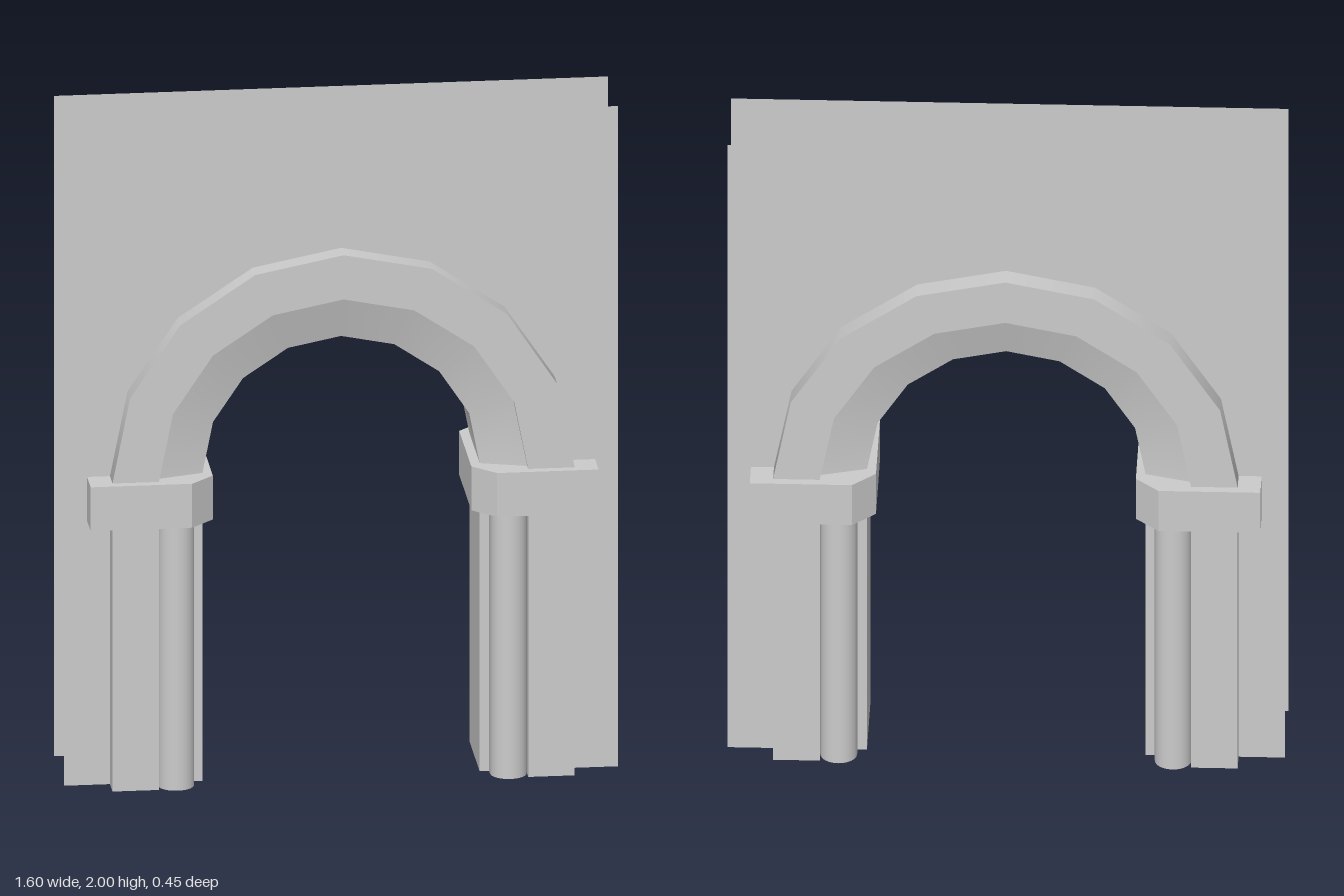
import * as THREE from 'three';
import { mergeGeometries } from 'three/addons/utils/BufferGeometryUtils.js';

const material = new THREE.MeshStandardMaterial({ color: 0xcccccc, side: THREE.DoubleSide });
const SPRING = 0.933, CAP_Y = 0.8, SEGMENTS = 8;
const R_OUT = 0.667, R_MID = 0.533, R_IN = 0.4;
const Z_RING = 0.2, Z_WALL = 0.133;

function addMesh(parent, name, geometry) {
  const mesh = new THREE.Mesh(geometry, material);
  mesh.name = name;
  parent.add(mesh);
  return mesh;
}

// Flat sheet with the arched opening cut out of its lower edge
function wallGeometry() {
  const shape = new THREE.Shape();
  shape.moveTo(-0.8, 0);
  shape.lineTo(-R_OUT, 0);
  for (let i = 0; i <= SEGMENTS; i++) {
    const a = Math.PI * (1 - i / SEGMENTS);
    shape.lineTo(R_OUT * Math.cos(a), SPRING + R_OUT * Math.sin(a));
  }
  shape.lineTo(R_OUT, 0);
  shape.lineTo(0.8, 0);
  shape.lineTo(0.8, 2);
  shape.lineTo(-0.8, 2);
  return new THREE.ShapeGeometry(shape);
}

// Half-ring swept from a stepped, splayed profile; each strip keeps its own normals
function archGeometry() {
  const profile = [
    [R_OUT, -Z_RING], [R_OUT, Z_RING], [R_MID, Z_RING], [R_MID, 0.173],
    [R_IN, Z_WALL], [R_IN, -Z_WALL], [R_MID, -0.173], [R_MID, -Z_RING],
  ].map(([r, z]) => new THREE.Vector2(r, z));
  const strips = profile.map((p, i) =>
    new THREE.LatheGeometry([p, profile[(i + 1) % profile.length]], SEGMENTS, Math.PI / 2, Math.PI));
  return mergeGeometries(strips).rotateX(Math.PI / 2).translate(0, SPRING, 0);
}

// Upright rectangle from a to b in plan, facing away from the pier's core
function uprightGeometry([ax, az], [bx, bz]) {
  const g = new THREE.PlaneGeometry(Math.hypot(bx - ax, bz - az), CAP_Y);
  g.rotateY(Math.atan2(az - bz, bx - ax));
  return g.translate((ax + bx) / 2, CAP_Y / 2, (az + bz) / 2);
}

// Front half of a stepped pier, open at the bottom
function pierGeometry() {
  const runs = [
    [[R_IN, 0], [R_IN, Z_WALL], [0.427, Z_WALL], [0.427, 0.16]],
    [[R_MID, 0.16], [R_MID, Z_RING], [R_OUT, Z_RING], [R_OUT, 0]],
  ];
  const sides = [];
  for (const run of runs)
    for (let i = 0; i < run.length - 1; i++) sides.push(uprightGeometry(run[i], run[i + 1]));
  return mergeGeometries(sides);
}

// Engaged half-round shaft set in the pier's corner
function shaftGeometry() {
  return new THREE.CylinderGeometry(0.053, 0.053, CAP_Y, 12, 1, true, -Math.PI / 2, Math.PI)
    .translate(0.48, CAP_Y / 2, 0.16);
}

// Capital block with its two inner corners cut off
function capitalGeometry() {
  const plan = [[0.733, -0.227], [0.733, 0.227], [0.44, 0.227], [0.373, 0.16], [0.373, -0.16], [0.44, -0.227]];
  const shape = new THREE.Shape(plan.map(([x, z]) => new THREE.Vector2(x, -z)));
  return new THREE.ExtrudeGeometry(shape, { depth: SPRING - CAP_Y, bevelEnabled: false })
    .rotateX(-Math.PI / 2).translate(0, CAP_Y, 0);
}

export function createModel() {
  const model = new THREE.Group();
  model.name = 'archway';

  // Wall sheets, front and back
  const wall = wallGeometry();
  addMesh(model, 'frontWall', wall).position.z = Z_WALL;
  const back = addMesh(model, 'backWall', wall);
  back.position.z = -Z_WALL;
  back.rotation.y = Math.PI;

  addMesh(model, 'arch', archGeometry());

  // Left and right supports, each mirrored front to back
  const pier = pierGeometry(), shaft = shaftGeometry(), capital = capitalGeometry();
  for (const sx of [1, -1]) {
    const support = new THREE.Group();
    support.name = sx > 0 ? 'leftSupport' : 'rightSupport';
    support.scale.x = sx;
    addMesh(support, 'capital', capital);
    for (const sz of [1, -1]) {
      const end = sz > 0 ? 'front' : 'back';
      addMesh(support, end + 'Pier', pier).scale.z = sz;
      addMesh(support, end + 'Shaft', shaft).scale.z = sz;
    }
    model.add(support);
  }
  return model;
}
